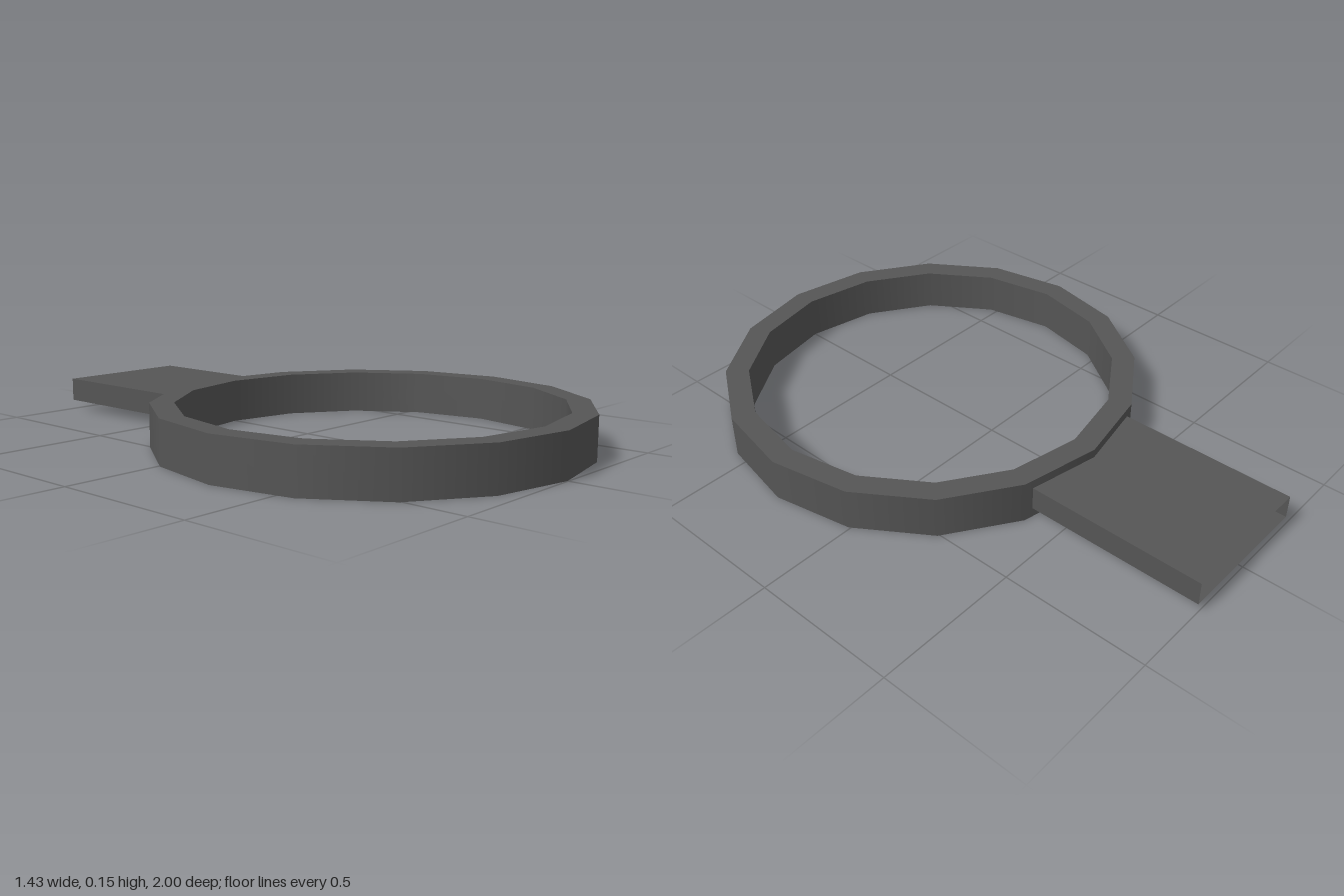
import * as THREE from 'three';
import { mergeGeometries } from 'three/addons/utils/BufferGeometryUtils.js';

const SIDES = 16;
const OUTER = 0.717, INNER = 0.637, HEIGHT = 0.147;
const RING_Z = 0.281;

// Ring of rectangular section: each wall is its own lathe, so the rims stay sharp
function ringGeometry() {
  const corners = [[OUTER, 0], [OUTER, HEIGHT], [INNER, HEIGHT], [INNER, 0]]
    .map(([r, y]) => new THREE.Vector2(r, y));
  return mergeGeometries(corners.map((p, i) =>
    new THREE.LatheGeometry([p, corners[(i + 1) % 4]], SIDES)));
}

// Flat rectangular sleeve, open at both z ends
function sleeveGeometry(width, height, depth) {
  const box = new THREE.BoxGeometry(width, height, depth);
  box.setIndex(Array.from(box.index.array).slice(0, 24)); // drop the two end faces
  box.clearGroups();
  return box;
}

export function createModel() {
  const group = new THREE.Group();
  const darkGrey = new THREE.MeshStandardMaterial({ color: 0x555555, side: THREE.DoubleSide });
  darkGrey.name = 'darkGrey';

  const ring = new THREE.Mesh(ringGeometry(), darkGrey);
  ring.name = 'ring';
  ring.position.z = RING_Z;
  group.add(ring);

  // Handle sleeve runs from inside the ring wall to the back
  const back = -1, front = -0.385;
  const handle = new THREE.Mesh(sleeveGeometry(0.49, 0.082, front - back), darkGrey);
  handle.name = 'handleSleeve';
  handle.position.set(0, 0.075, (front + back) / 2);
  group.add(handle);

  return group;
}
